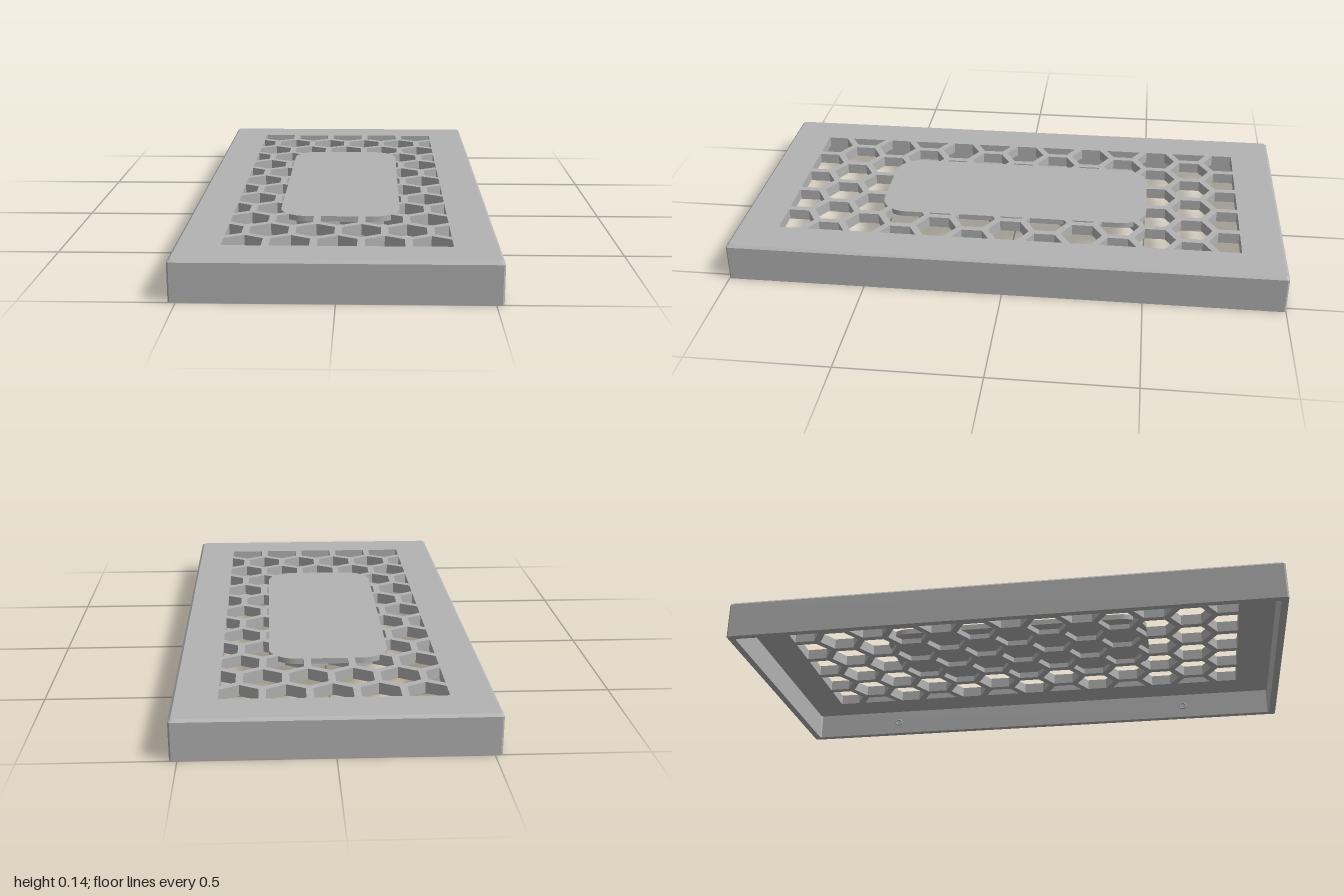
import * as THREE from 'three';

const HX = 0.525, HZ = 1, TOP = 0.14, CEIL = 0.1, WALL = 0.025;
const PITCH = 0.155, ROW = PITCH * Math.sqrt(3) / 2, HEX_R = 0.13 / Math.sqrt(3);
const WIN_X = 0.375, WIN_Z = 0.845;

// Rectangle corners with small corner cuts, counter-clockwise
function rectRing(hx, hz, c) {
  return [[hx, -hz + c], [hx, hz - c], [hx - c, hz], [-hx + c, hz],
    [-hx, hz - c], [-hx, -hz + c], [-hx + c, -hz], [hx - c, -hz]];
}

// Keep the part of a polygon where sign * p[axis] <= limit
function clip(points, axis, sign, limit) {
  const out = [];
  points.forEach((a, i) => {
    const b = points[(i + 1) % points.length];
    const da = limit - sign * a[axis], db = limit - sign * b[axis];
    if (da >= 0) out.push(a);
    if (da * db < 0) {
      const t = da / (da - db);
      out.push([a[0] + (b[0] - a[0]) * t, a[1] + (b[1] - a[1]) * t]);
    }
  });
  return out;
}

// Honeycomb openings trimmed to the rectangular window
function hexHoles() {
  const holes = [];
  for (let r = -6; r <= 6; r++) {
    const shift = r % 2 ? PITCH / 2 : 0;
    for (let c = -3; c <= 3; c++) {
      const cx = c * PITCH + shift, cz = r * ROW;
      let pts = [];
      for (let k = 0; k < 6; k++) {
        const a = Math.PI / 6 + k * Math.PI / 3;
        pts.push([cx + HEX_R * Math.cos(a), cz + HEX_R * Math.sin(a)]);
      }
      for (const s of [1, -1]) {
        pts = clip(pts, 0, s, WIN_X);
        pts = clip(pts, 1, s, WIN_Z);
      }
      const xs = pts.map(p => p[0]);
      if (pts.length > 2 && Math.max(...xs) - Math.min(...xs) > 0.01) {
        holes.push(new THREE.Path(pts.map(p => new THREE.Vector2(...p))));
      }
    }
  }
  return holes;
}

// Horizontal slab between two heights
function slab(shape, y0, y1) {
  const g = new THREE.ExtrudeGeometry(shape, { depth: y1 - y0, bevelEnabled: false, curveSegments: 8 });
  return g.rotateX(-Math.PI / 2).translate(0, y0, 0);
}

// Chamfered frame wall swept from (inset, height) cross-section points
function frameGeometry() {
  const profile = [[WALL, CEIL], [WALL, 0], [0, 0], [0, 0.131], [0.009, TOP]];
  const rings = profile.map(([d, y]) =>
    rectRing(HX - d, HZ - d, 0.006).map(([x, z]) => [x, y, z]));
  const pos = [];
  for (let i = 0; i < rings.length - 1; i++) {
    for (let k = 0; k < 8; k++) {
      const n = (k + 1) % 8;
      const a = rings[i][k], b = rings[i][n], c = rings[i + 1][n], d = rings[i + 1][k];
      pos.push(...a, ...c, ...b, ...a, ...d, ...c);
    }
  }
  const g = new THREE.BufferGeometry();
  g.setAttribute('position', new THREE.Float32BufferAttribute(pos, 3));
  g.computeVertexNormals();
  return g;
}

export function createModel() {
  const model = new THREE.Group();
  model.name = 'ventCover';
  const grey = new THREE.MeshStandardMaterial({ color: 0xb3b3b3, side: THREE.DoubleSide });
  grey.name = 'grey';
  const add = (name, geometry) => {
    const mesh = new THREE.Mesh(geometry, grey);
    mesh.name = name;
    model.add(mesh);
    return mesh;
  };

  // Outer walls
  add('frameWalls', frameGeometry());

  // Perforated top
  const outline = new THREE.Shape(
    rectRing(HX - 0.009, HZ - 0.009, 0.006).map(p => new THREE.Vector2(...p)));
  outline.holes.push(...hexHoles());
  add('honeycombPlate', slab(outline, CEIL, TOP));

  // Rounded panel closing the middle cells from above
  const w = 0.212, l = 0.503, r = 0.1;
  const panel = new THREE.Shape();
  panel.moveTo(w, -l + r);
  panel.lineTo(w, l - r);
  panel.absarc(w - r, l - r, r, 0, Math.PI / 2);
  panel.absarc(-w + r, l - r, r, Math.PI / 2, Math.PI);
  panel.absarc(-w + r, -l + r, r, Math.PI, Math.PI * 1.5);
  panel.absarc(w - r, -l + r, r, Math.PI * 1.5, Math.PI * 2);
  add('centrePanel', slab(panel, 0.12, TOP));

  // Small ring bosses inside the long walls
  for (const sx of [1, -1]) {
    for (const sz of [1, -1]) {
      const boss = add('wallBoss', new THREE.TorusGeometry(0.012, 0.004, 6, 16));
      boss.rotation.y = Math.PI / 2;
      boss.position.set(sx * (HX - WALL), 0.05, sz * 0.62);
    }
  }
  return model;
}
